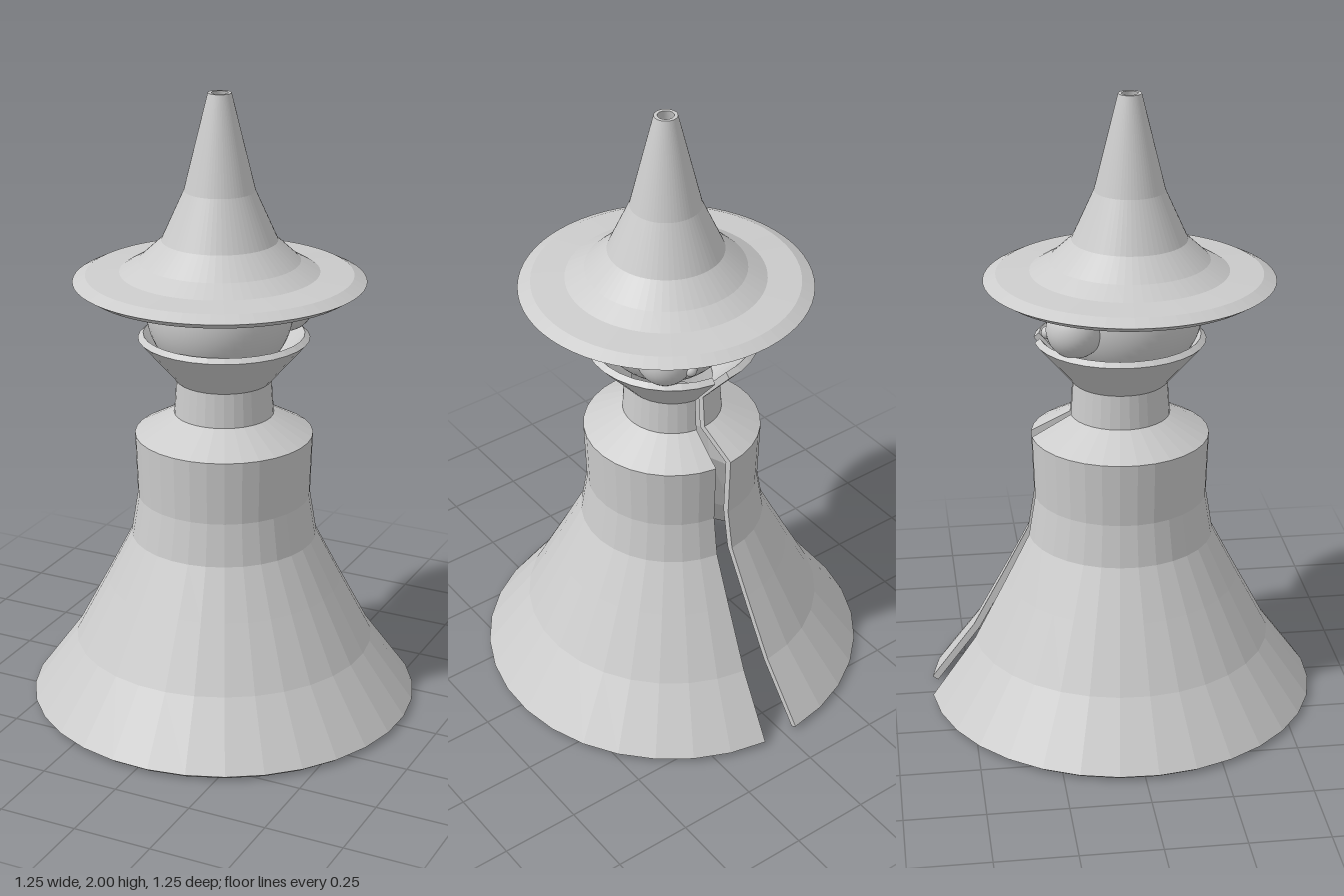
import * as THREE from 'three';

const material = new THREE.MeshStandardMaterial({ color: 0xcccccc });
const flat = new THREE.MeshStandardMaterial({ color: 0xcccccc, flatShading: true });
const flatDouble = new THREE.MeshStandardMaterial({ color: 0xcccccc, flatShading: true, side: THREE.DoubleSide });

const toPoints = (list) => list.map(([r, y]) => new THREE.Vector2(r, y));

function addMesh(parent, name, geometry, mat, position = [0, 0, 0]) {
  const mesh = new THREE.Mesh(geometry, mat);
  mesh.name = name;
  mesh.position.set(...position);
  parent.add(mesh);
  return mesh;
}

// Moves a profile inwards by t, with mitred corners
function offsetInwards(points, t) {
  const normal = (a, b) => new THREE.Vector2(a.y - b.y, b.x - a.x).normalize();
  return points.map((p, i) => {
    const next = points[i + 1], prev = points[i - 1];
    const n1 = prev ? normal(prev, p) : normal(p, next);
    const n2 = next ? normal(p, next) : n1;
    const mid = n1.clone().add(n2).normalize();
    return p.clone().addScaledVector(mid, t / mid.dot(n1));
  });
}

// Thick robe with collar, one of 32 facets left open as the slit
function createRobe() {
  const robe = new THREE.Group();
  robe.name = 'robe';
  const outer = toPoints([
    [0.625, 0.013], [0.482, 0.21], [0.377, 0.41], [0.298, 0.565], [0.276, 0.7],
    [0.283, 0.905], [0.158, 0.973], [0.15, 1.083], [0.27, 1.222],
  ]);
  const loop = [...outer, ...offsetInwards(outer, 0.022).reverse()];
  const start = Math.PI + 0.066;
  const sweep = (Math.PI * 2 * 31) / 32;
  addMesh(robe, 'robeShell', new THREE.LatheGeometry([...loop, loop[0].clone()], 31, start, sweep), flat);

  // Walls that close the shell on both sides of the slit
  const wall = new THREE.ShapeGeometry(new THREE.Shape(loop));
  for (const angle of [start, start + sweep]) {
    addMesh(robe, 'slitWall', wall, flatDouble).rotation.y = angle - Math.PI / 2;
  }
  return robe;
}

// Pointed hat with a wide brim and an open tip
function createHat() {
  const profile = toPoints([
    [0.025, 2], [0.095, 1.69], [0.165, 1.53], [0.225, 1.465], [0.3, 1.405], [0.42, 1.395],
    [0.455, 1.417], [0.415, 1.437], [0.31, 1.445], [0.25, 1.48], [0.18, 1.545],
    [0.11, 1.7], [0.036, 2], [0.025, 2],
  ]);
  return new THREE.LatheGeometry(profile, 64);
}

export function createModel() {
  const model = new THREE.Group();
  model.name = 'robedFigure';
  model.add(createRobe());
  addMesh(model, 'head', new THREE.SphereGeometry(0.23, 48, 32), material, [0, 1.325, 0.03]);
  addMesh(model, 'hat', createHat(), flat, [0, 0, 0.03]);

  // Eyes and pupils look out above the slit
  const eye = new THREE.SphereGeometry(0.09, 32, 24);
  const pupil = new THREE.SphereGeometry(0.02, 20, 14);
  for (const [side, s] of [['left', 1], ['right', -1]]) {
    addMesh(model, side + 'Eye', eye, material, [s * 0.14, 1.308, -0.156]);
    addMesh(model, side + 'Pupil', pupil, material, [s * 0.105, 1.288, -0.237]);
  }
  return model;
}
